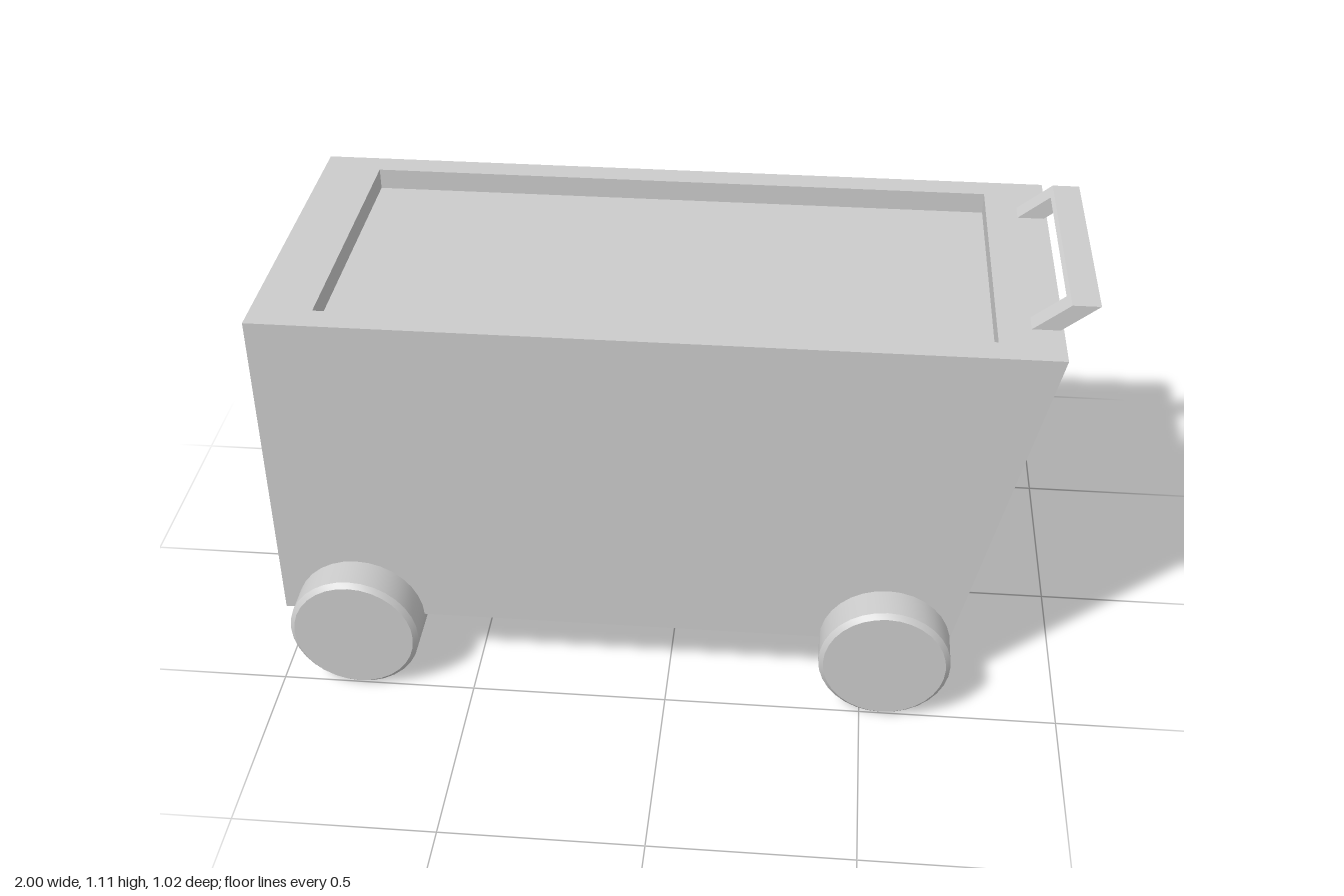
import * as THREE from 'three';
import { toCreasedNormals } from 'three/addons/utils/BufferGeometryUtils.js';

const material = new THREE.MeshStandardMaterial({ color: 0xcccccc });

function addMesh(parent, name, geometry) {
  const mesh = new THREE.Mesh(geometry, material);
  mesh.name = name;
  parent.add(mesh);
  return mesh;
}

// Rectangle of corners at height y, counter-clockwise from above
const ring = (x0, x1, z0, z1, y) => [[x0, y, z1], [x1, y, z1], [x1, y, z0], [x0, y, z0]];

// Flat-sided solid skinned through a series of rings, capped at both ends
function skin(rings) {
  const pos = [];
  const quad = (a, b, c, d) => pos.push(...a, ...b, ...c, ...a, ...c, ...d);
  for (let r = 0; r < rings.length - 1; r++) {
    for (let i = 0; i < 4; i++) {
      const j = (i + 1) % 4;
      quad(rings[r][i], rings[r][j], rings[r + 1][j], rings[r + 1][i]);
    }
  }
  quad(...[...rings[0]].reverse());
  quad(...rings[rings.length - 1]);
  const g = new THREE.BufferGeometry();
  g.setAttribute('position', new THREE.Float32BufferAttribute(pos, 3));
  g.computeVertexNormals();
  return g;
}

export function createModel() {
  const model = new THREE.Group();
  model.name = 'cart';

  // Tub with one sloping end and a shallow recess in the top
  addMesh(model, 'body', skin([
    ring(-1, 0.715, -0.453, 0.412, 0.17),
    ring(-1, 0.92, -0.453, 0.412, 1.038),
    ring(-0.85, 0.765, -0.387, 0.342, 1.038),
    ring(-0.85, 0.765, -0.387, 0.342, 0.983),
  ]));

  // Wheels: short cylinders with a bevelled outer rim
  const profile = [[0, 0], [0.166, 0], [0.166, 0.118], [0.154, 0.13], [0, 0.13]]
    .map(([x, y]) => new THREE.Vector2(x, y));
  const wheelGeometry = toCreasedNormals(new THREE.LatheGeometry(profile, 32), 0.5);
  for (const [end, x] of [['slopedEnd', 0.555], ['straightEnd', -0.8]]) {
    for (const side of [1, -1]) {
      const wheel = addMesh(model, `${end}Wheel${side > 0 ? 'Front' : 'Back'}`, wheelGeometry);
      wheel.rotation.x = side * Math.PI / 2;
      wheel.position.set(x, 0.167, side * 0.378);
    }
  }

  // Push handle: two leaning arms and a thin grip plate across their tops
  const handle = new THREE.Group();
  handle.name = 'handle';
  model.add(handle);
  const lean = (y) => 0.845 + (y - 1.038) * 1.25;
  const addLeaning = (name, y0, y1, z0, z1) => {
    addMesh(handle, name, skin([
      ring(lean(y0), lean(y0) + 0.067, z0, z1, y0),
      ring(lean(y1), lean(y1) + 0.067, z0, z1, y1),
    ]));
  };
  addLeaning('handleArmFront', 1.036, 1.1, 0.225, 0.278);
  addLeaning('handleArmBack', 1.036, 1.1, -0.318, -0.265);
  addLeaning('handleGrip', 1.1, 1.107, -0.318, 0.278);

  return model;
}
